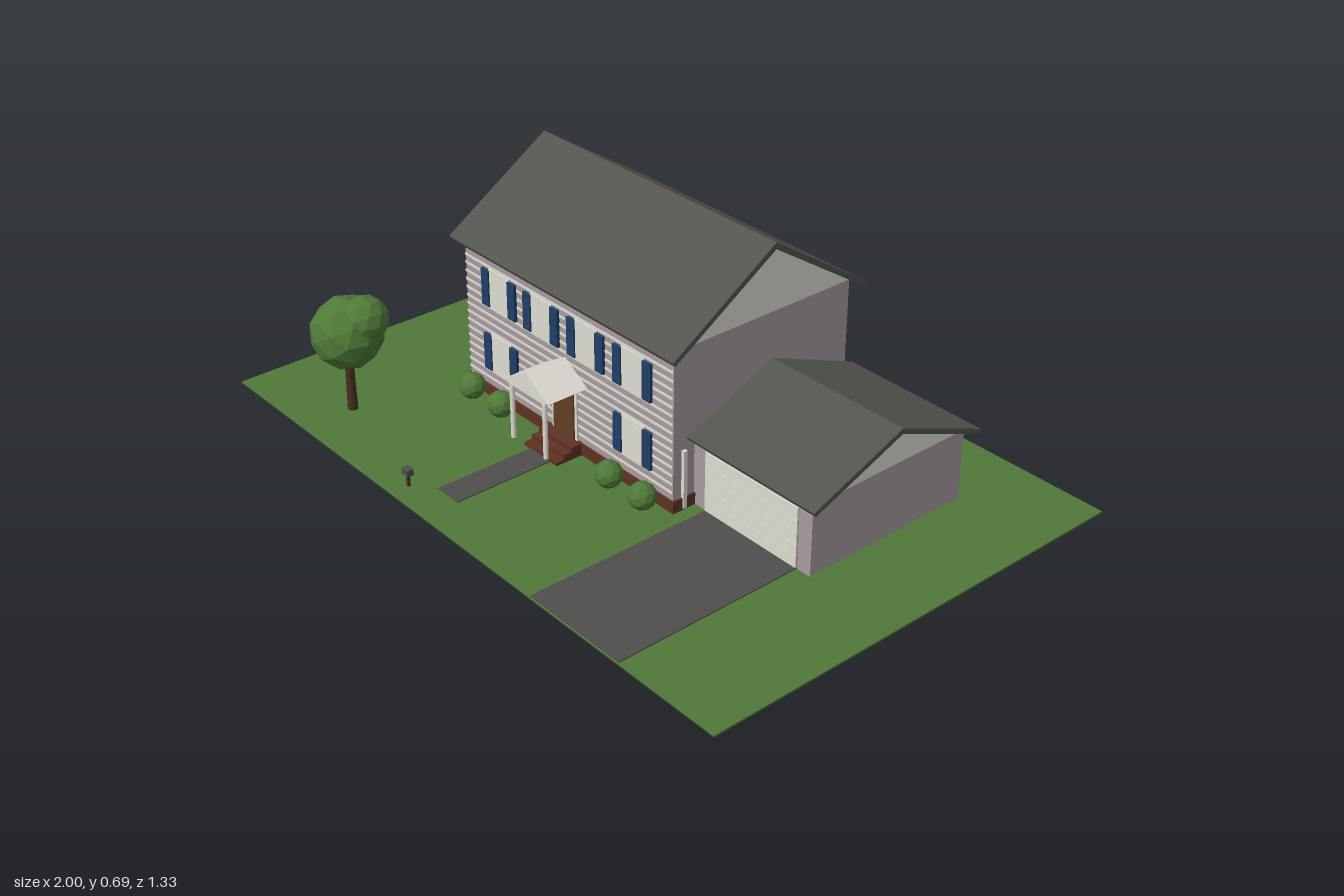
import * as THREE from 'three';

const mat = (name, color, flat = false) => {
  const m = new THREE.MeshStandardMaterial({ color, flatShading: flat });
  m.name = name;
  return m;
};

export function createModel() {
  const M = {
    trim: mat('offWhite', 0xdedcd2), siding: mat('mauveSiding', 0xa79b9e),
    roof: mat('roofGrey', 0x54544f), brick: mat('brick', 0x5e3222),
    shutter: mat('navy', 0x1f3f66), door: mat('doorBrown', 0x633d24),
    paving: mat('asphalt', 0x504d4d), grass: mat('grass', 0x50783a),
    leaf: mat('foliage', 0x4f7a38, true), bark: mat('bark', 0x4a2f20),
  };
  const root = new THREE.Group();
  root.name = 'house';

  const add = (name, geo, material, parent = root) => {
    const mesh = new THREE.Mesh(geo, material);
    mesh.name = name;
    parent.add(mesh);
    return mesh;
  };
  const group = (name) => {
    const g = new THREE.Group();
    g.name = name;
    root.add(g);
    return g;
  };
  // Box given by its extents on each axis
  const box = (name, m, x0, x1, y0, y1, z0, z1, parent) =>
    add(name, new THREE.BoxGeometry(x1 - x0, y1 - y0, z1 - z0), m, parent)
      .position.set((x0 + x1) / 2, (y0 + y1) / 2, (z0 + z1) / 2);
  const extrude = (pts, depth) => new THREE.ExtrudeGeometry(
    new THREE.Shape(pts.map(([a, b]) => new THREE.Vector2(a, b))), { depth, bevelEnabled: false });
  // Profile in (z, y), extruded from x0 to x1
  const alongX = (name, m, pts, x0, x1) =>
    add(name, extrude(pts, x1 - x0).rotateY(-Math.PI / 2).translate(x1, 0, 0), m);
  const gable = (name, x0, x1, zc, half, y0, y1) =>
    alongX(name, M.trim, [[zc - half, y0], [zc + half, y0], [zc, y1]], x0, x1);
  const roof = (name, x0, x1, zc, half, eave, ridge, t) =>
    alongX(name, M.roof, [
      [zc - half, eave], [zc - half + 0.007, eave - 0.012], [zc, ridge - t],
      [zc + half - 0.007, eave - 0.012], [zc + half, eave], [zc, ridge],
    ], x0, x1);

  // Lot
  box('lawn', M.grass, -1, 1, 0, 0.005, -0.665, 0.665);
  box('driveway', M.paving, 0.345, 0.675, 0.001, 0.008, 0.1, 0.662);
  box('frontPath', M.paving, -0.18, -0.095, 0.001, 0.008, 0.25, 0.56);

  // Main house
  box('foundation', M.brick, -0.575, 0.303, 0.001, 0.04, -0.44, 0.175);
  box('mainWalls', M.siding, -0.57, 0.297, 0.04, 0.47, -0.435, 0.17);
  const boards = group('sidingLines');
  for (let y = 0.06; y < 0.455; y += 0.025)
    box('sidingLine', M.trim, -0.572, 0.295, y, y + 0.007, -0.433, 0.172, boards);
  gable('mainGable', -0.57, 0.297, -0.133, 0.3025, 0.47, 0.667);
  roof('mainRoof', -0.6, 0.33, -0.133, 0.335, 0.466, 0.685, 0.019);
  box('downspout', M.trim, 0.297, 0.307, 0.01, 0.18, 0.131, 0.143);

  // Garage
  box('garageWalls', M.siding, 0.297, 0.72, 0.001, 0.21, -0.434, 0.1);
  gable('garageGable', 0.297, 0.72, -0.167, 0.267, 0.21, 0.318);
  roof('garageRoof', 0.297, 0.75, -0.167, 0.295, 0.215, 0.333, 0.016);
  const garageDoor = group('garageDoor');
  box('doorBacking', M.siding, 0.345, 0.675, 0.008, 0.185, 0.1, 0.102, garageDoor);
  for (let i = 0; i < 5; i++)
    box('doorPanel', M.trim, 0.345, 0.675, 0.009 + i * 0.0352, 0.0428 + i * 0.0352, 0.1, 0.106, garageDoor);

  // Windows with shutters
  const windowAt = (x, y) => {
    const g = group('window');
    box('pane', M.trim, x - 0.045, x + 0.045, y - 0.06, y + 0.06, 0.17, 0.176, g);
    for (const s of [-1, 1]) {
      const c = x + s * 0.058;
      box('shutter', M.shutter, c - 0.016, c + 0.016, y - 0.055, y + 0.055, 0.171, 0.18, g);
    }
  };
  for (const x of [-0.415, -0.23, -0.043, 0.144]) windowAt(x, 0.35);
  for (const x of [-0.415, 0.144]) windowAt(x, 0.15);

  // Entrance
  const dx = -0.137;
  box('doorFrame', M.trim, dx - 0.053, dx + 0.053, 0.04, 0.21, 0.17, 0.176);
  box('frontDoor', M.door, dx - 0.043, dx + 0.043, 0.04, 0.2, 0.172, 0.18);
  for (let i = 0; i < 3; i++)
    box('step', M.brick, dx - 0.07, dx + 0.07, 0.001, 0.015 + i * 0.013, 0.17, 0.26 - i * 0.025);
  box('porticoBeam', M.trim, dx - 0.08, dx + 0.08, 0.208, 0.222, 0.17, 0.298);
  add('porticoRoof', extrude([[dx - 0.093, 0.218], [dx + 0.093, 0.218], [dx, 0.274]], 0.13)
    .translate(0, 0, 0.17), M.trim);
  for (const s of [-1, 1])
    add('porticoColumn', new THREE.CylinderGeometry(0.007, 0.007, 0.168, 10), M.trim)
      .position.set(dx + s * 0.07, 0.128, 0.294);

  // Planting
  const ball = (name, x, y, z, r) =>
    add(name, new THREE.IcosahedronGeometry(r, 1), M.leaf).position.set(x, y, z);
  for (const x of [-0.503, -0.37, 0.096, 0.23]) ball('bush', x, 0.043, 0.216, 0.039);
  add('treeTrunk', new THREE.CylinderGeometry(0.012, 0.015, 0.19, 8), M.bark)
    .position.set(-0.67, 0.097, 0.505);
  ball('treeCrown', -0.67, 0.245, 0.503, 0.104);
  ball('treeCrownSide', -0.625, 0.292, 0.472, 0.068);

  // Mailbox
  box('mailboxPost', M.bark, -0.247, -0.239, 0.001, 0.042, 0.606, 0.614);
  box('mailbox', M.paving, -0.256, -0.23, 0.04, 0.058, 0.6, 0.62);

  return root;
}
